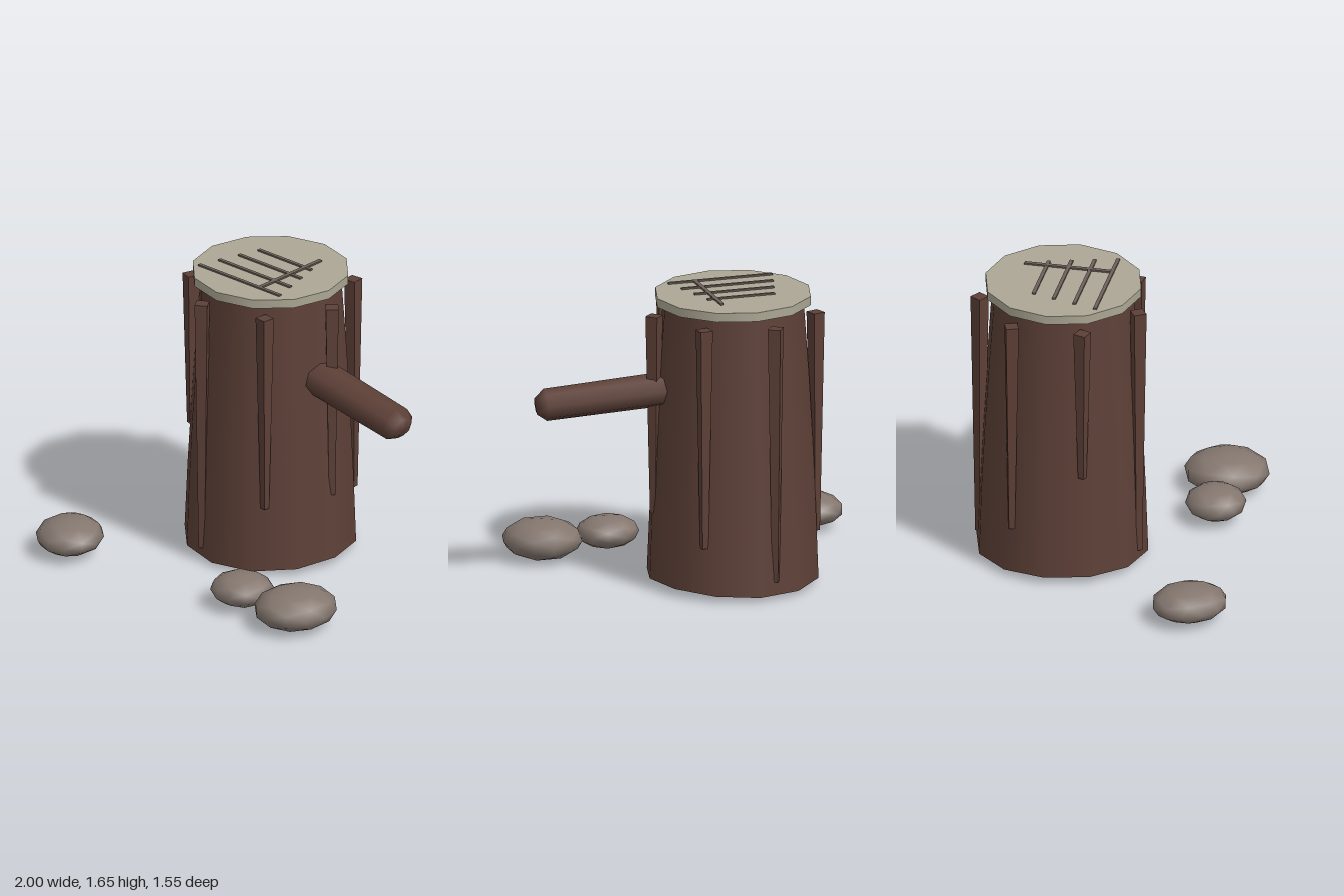
import * as THREE from 'three';
import { mergeVertices } from 'three/addons/utils/BufferGeometryUtils.js';

const mat = (name, color) => Object.assign(new THREE.MeshStandardMaterial({ color }), { name });

export function createModel() {
  const bark = mat('bark', 0x5d4037);
  const wood = mat('cut wood', 0xaca794);
  const mark = mat('carved mark', 0x6d615b);
  const stone = mat('stone', 0x84776f);

  const model = new THREE.Group();
  const add = (name, geometry, material, parent = model) => {
    const mesh = new THREE.Mesh(geometry, material);
    mesh.name = name;
    parent.add(mesh);
    return mesh;
  };

  // Stump, standing slightly off centre
  const stump = new THREE.Group();
  stump.name = 'stump';
  stump.position.set(-0.1, 0, -0.285);
  model.add(stump);

  // Trunk: a cylinder that bulges and has a slightly uneven base
  const trunk = new THREE.CylinderGeometry(0.395, 0.48, 1.545, 12, 4);
  trunk.translate(0, 0.81, 0);
  const p = trunk.attributes.position;
  for (let i = 0; i < p.count; i++) {
    const x = p.getX(i), y = p.getY(i), z = p.getZ(i);
    const t = (y - 0.0375) / 1.545;
    const a = Math.atan2(z, x);
    const s = 1 + 0.07 * t * (1 - t) + 0.006 * Math.sin(3 * a + 4 * t);
    const onRim = Math.hypot(x, z) > 0.01;
    p.setXYZ(i, x * s, y + (onRim ? 0.012 * Math.cos(2 * a + 0.5) * (1 - t) : 0), z * s);
  }
  add('trunk', trunk, bark, stump);

  // Bark ridges: square strips with a corner outwards, sinking into the trunk
  const tips = [0.42, 0.4, 0.08, 0.65, 0.3, 0.1, 0.3];
  tips.forEach((tip, i) => {
    const a = (i / tips.length) * Math.PI * 2;
    const h = 1.54 - tip;
    const ridge = add('barkRidge', new THREE.CylinderGeometry(0.05, 0.024, h, 4).toNonIndexed(), bark, stump);
    ridge.geometry.computeVertexNormals();
    ridge.position.set(Math.cos(a) * 0.455, tip + h / 2, Math.sin(a) * 0.455);
    ridge.rotation.y = -a;
  });

  // Pale cut top
  add('cutTop', new THREE.CylinderGeometry(0.435, 0.435, 0.05, 12), wood, stump).position.set(0, 1.61, 0.003);

  // Marks carved into the top: [x0, x1, z]
  const marks = new THREE.Group();
  marks.name = 'carvedMarks';
  model.add(marks);
  const bars = [[-0.3, 0.09, -0.405], [-0.335, 0.125, -0.285], [-0.37, 0.16, -0.163], [-0.405, 0.195, -0.04]];
  for (const [x0, x1, z] of bars) {
    add('crossMark', new THREE.BoxGeometry(x1 - x0, 0.009, 0.02), mark, marks)
      .position.set((x0 + x1) / 2, 1.643, z);
  }
  add('longMark', new THREE.BoxGeometry(0.023, 0.009, 0.48), mark, marks).position.set(0.043, 1.644, -0.29);

  // Branch stub with a bevelled end
  const profile = [[0, 0], [0.1, 0], [0.105, 0.05], [0.1, 0.7], [0.055, 0.75], [0, 0.755]];
  const branchShape = new THREE.LatheGeometry(profile.map(([r, y]) => new THREE.Vector2(r, y)), 8);
  branchShape.scale(0.9, 1, 1.08);
  branchShape.rotateY(Math.PI / 2);
  const branch = add('branch', branchShape, bark);
  const from = new THREE.Vector3(0.25, 1.115, -0.262);
  const dir = new THREE.Vector3(0.985, 1.052, -0.168).sub(from).normalize();
  branch.position.copy(from);
  branch.quaternion.setFromUnitVectors(new THREE.Vector3(0, 1, 0), dir);
  branchShape.rotateY(Math.PI / 2);

  // Stones: smooth flattened pebbles, [centre, half sizes, turn]
  const pebbles = [
    [[-0.8, 0.108, 0.575], [0.188, 0.095, 0.215], 0.6],
    [[0.38, 0.112, 0.465], [0.178, 0.09, 0.168], 0.3],
    [[0.76, 0.11, 0.445], [0.224, 0.11, 0.238], 0],
  ];
  for (const [centre, size, turn] of pebbles) {
    let g = new THREE.IcosahedronGeometry(1, 1);
    g.deleteAttribute('normal');
    g.deleteAttribute('uv');
    g = mergeVertices(g, 1e-3);
    g.scale(...size);
    g.computeVertexNormals();
    const pebble = add('stone', g, stone);
    pebble.position.set(...centre);
    pebble.rotation.y = turn;
  }
  return model;
}
